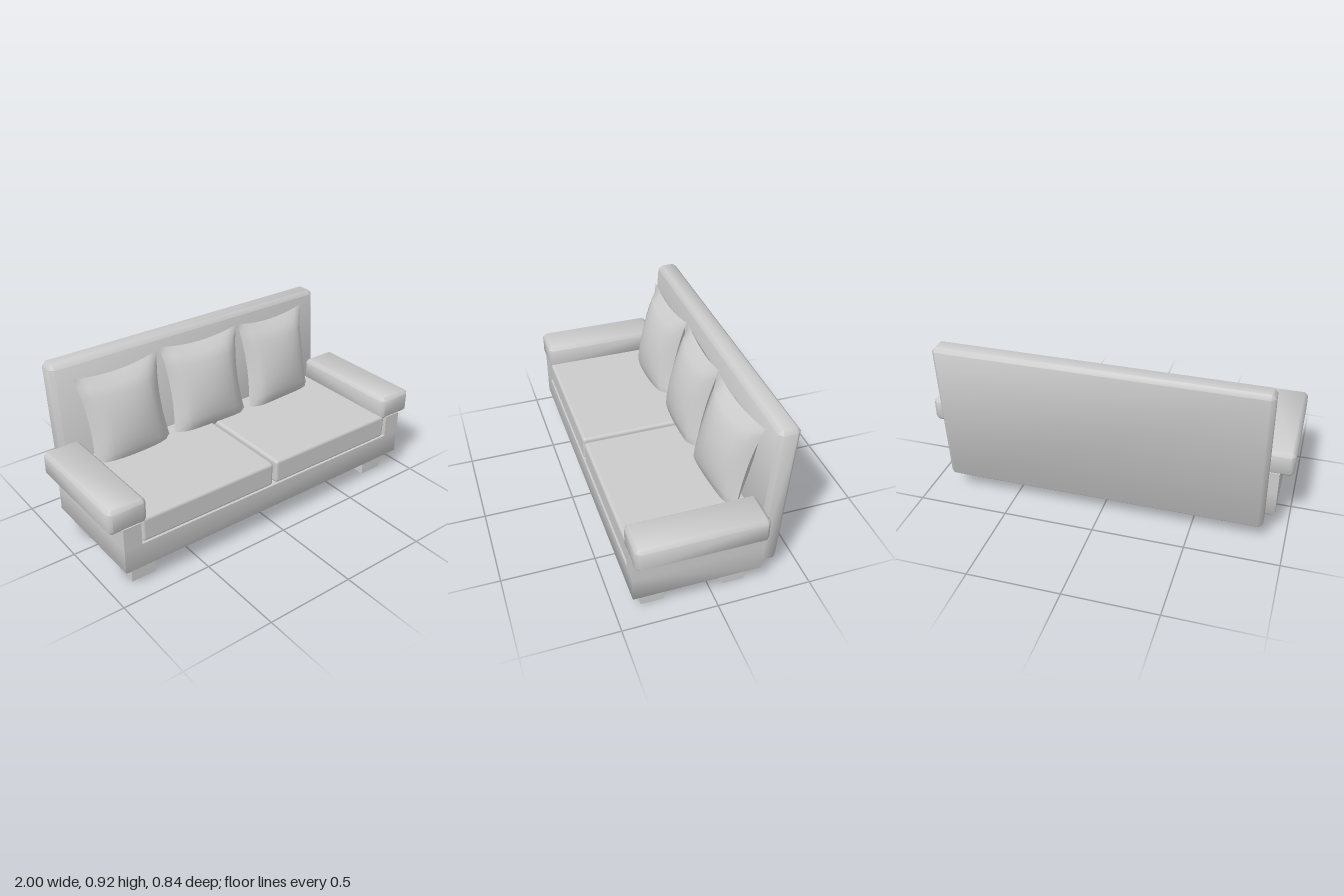
import * as THREE from 'three';
import { toCreasedNormals } from 'three/addons/utils/BufferGeometryUtils.js';
import { mergeGeometries } from 'three/addons/utils/BufferGeometryUtils.js';
import { RoundedBoxGeometry } from 'three/addons/geometries/RoundedBoxGeometry.js';
import { ConvexGeometry } from 'three/addons/geometries/ConvexGeometry.js';

const material = new THREE.MeshStandardMaterial({ color: 0xcccccc });
const SIDES = [-1, 1];

// Convex block with its chamfers shaded smoothly
function softHull(points) {
  return toCreasedNormals(new ConvexGeometry(points), 0.9);
}

// Box with every edge chamfered by c
function chamferBox(w, h, d, c) {
  const points = [];
  for (const sx of SIDES) for (const sy of SIDES) for (const sz of SIDES) {
    const x = w / 2, y = h / 2, z = d / 2;
    points.push(
      new THREE.Vector3(sx * x, sy * (y - c), sz * (z - c)),
      new THREE.Vector3(sx * (x - c), sy * y, sz * (z - c)),
      new THREE.Vector3(sx * (x - c), sy * (y - c), sz * z));
  }
  return softHull(points);
}

// Lower frame: upright sides, chamfered only around the bottom
function plinthGeometry(w, y0, y1, z0, z1, c) {
  const points = [];
  for (const sx of SIDES) for (const [y, inset] of [[y0, c], [y0 + c, 0], [y1, 0]]) {
    points.push(new THREE.Vector3(sx * (w / 2 - inset), y, z0 + inset));
    points.push(new THREE.Vector3(sx * (w / 2 - inset), y, z1 - inset));
  }
  return softHull(points);
}

// Square pillow: pinched edges with pointed corners, bulging on both faces
function pillowGeometry(w, h, bulge) {
  const face = new THREE.PlaneGeometry(2, 2, 10, 10);
  const p = face.attributes.position;
  for (let i = 0; i < p.count; i++) {
    const u = p.getX(i), v = p.getY(i);
    p.setXYZ(i,
      u * w / 2 * (1 - 0.13 * (1 - v * v)),
      v * h / 2 * (1 - 0.1 * (1 - u * u)),
      bulge * Math.pow(Math.max(0, (1 - u * u) * (1 - v * v)), 0.55));
  }
  face.computeVertexNormals();
  return mergeGeometries([face, face.clone().rotateY(Math.PI)]);
}

export function createModel() {
  const group = new THREE.Group();
  const add = (name, geometry, x = 0, y = 0, z = 0) => {
    const mesh = new THREE.Mesh(geometry, material);
    mesh.name = name;
    mesh.position.set(x, y, z);
    group.add(mesh);
    return mesh;
  };

  // Frame
  add('baseFrame', plinthGeometry(1.86, 0.09, 0.255, -0.25, 0.42, 0.03));

  // Backrest: leaning slab whose top stays level
  const lean = 0.07;
  const back = chamferBox(1.76, 0.83, 0.115, 0.022);
  const p = back.attributes.position;
  for (let i = 0; i < p.count; i++) {
    if (p.getY(i) > 0) p.setY(i, p.getY(i) + p.getZ(i) * -lean);
  }
  add('backrest', back, 0, 0.508, -0.333).rotation.x = -lean;

  for (const s of SIDES) {
    const side = s > 0 ? 'left' : 'right';
    add(side + 'SideWall', new THREE.BoxGeometry(0.1, 0.13, 0.67), s * 0.88, 0.315, 0.085);
    add(side + 'Armrest', chamferBox(0.21, 0.138, 0.672, 0.02), s * 0.895, 0.437, 0.085);
    add(side + 'SeatCushion', new RoundedBoxGeometry(0.812, 0.138, 0.665, 2, 0.018), s * 0.415, 0.322, 0.082);
    add(side + 'FrontLeg', new THREE.BoxGeometry(0.14, 0.095, 0.122), s * 0.8, 0.0475, 0.303);
    add(side + 'BackLeg', new THREE.BoxGeometry(0.14, 0.095, 0.122), s * 0.8, 0.0475, -0.131);
  }

  // Pillows leaning on the backrest: x, y, turn, roll
  const pillows = [
    ['rightPillow', -0.52, 0.575, 0.02, 0.025],
    ['middlePillow', -0.003, 0.595, -0.03, -0.005],
    ['leftPillow', 0.507, 0.595, 0.08, -0.01],
  ];
  for (const [name, x, y, turn, roll] of pillows) {
    add(name, pillowGeometry(0.51, 0.57, 0.098), x, y, -0.205).rotation.set(-0.22, turn, roll);
  }
  return group;
}
